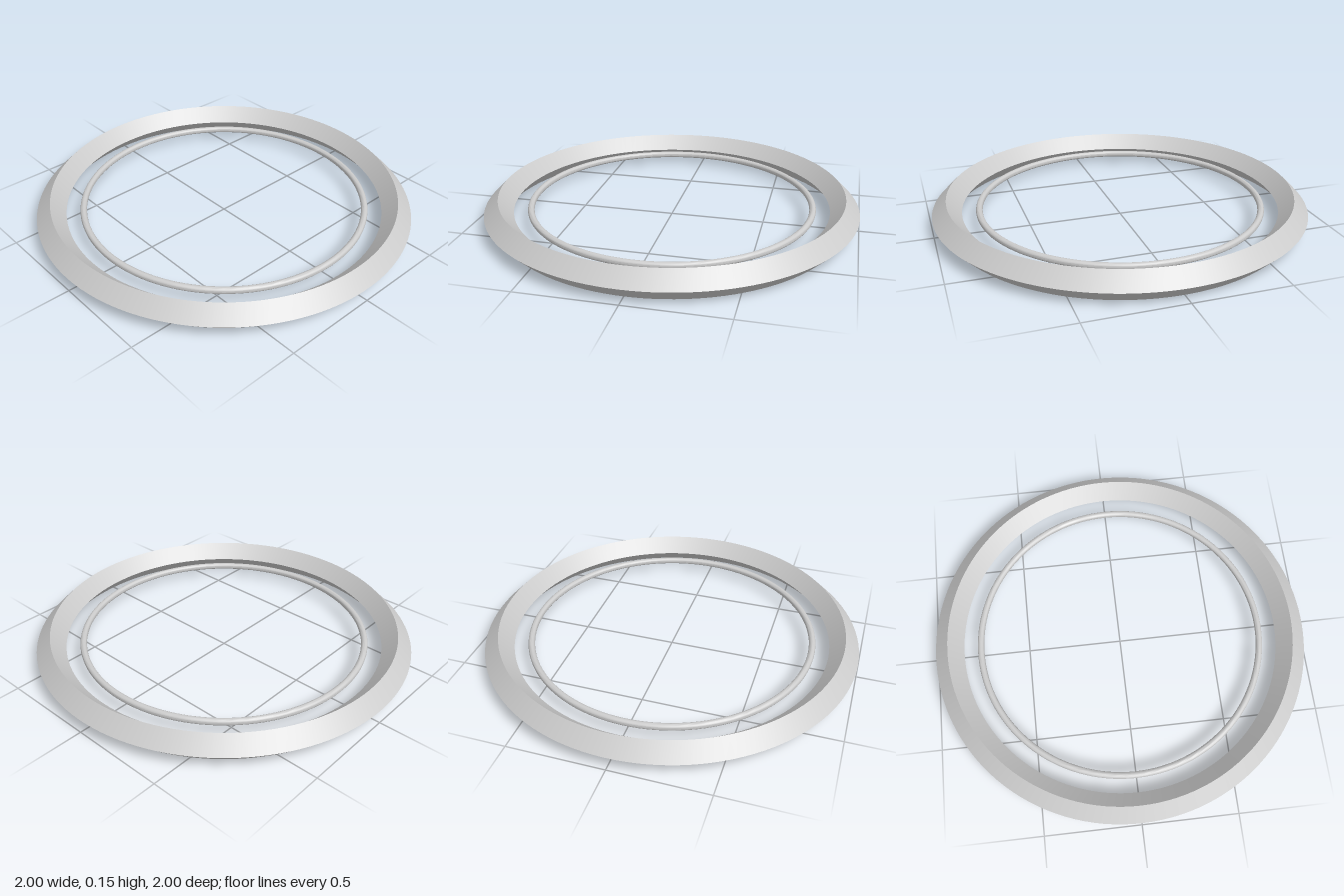
import * as THREE from 'three';
import { toCreasedNormals } from 'three/addons/utils/BufferGeometryUtils.js';

const MID_HEIGHT = 0.077;

export function createModel() {
  const model = new THREE.Group();
  const material = new THREE.MeshStandardMaterial({ color: 0xcccccc });

  const addRing = (name, geometry) => {
    geometry.rotateX(Math.PI / 2);
    const ring = new THREE.Mesh(toCreasedNormals(geometry, Math.PI / 6), material);
    ring.name = name;
    ring.position.y = MID_HEIGHT;
    model.add(ring);
  };

  // Outer ring with a diamond cross-section and crisp ridges
  addRing('outerRing', new THREE.TorusGeometry(0.923, 0.077, 4, 128));

  // Thin round inner ring, floating at the same height
  addRing('innerRing', new THREE.TorusGeometry(0.756, 0.0175, 16, 128));

  return model;
}
